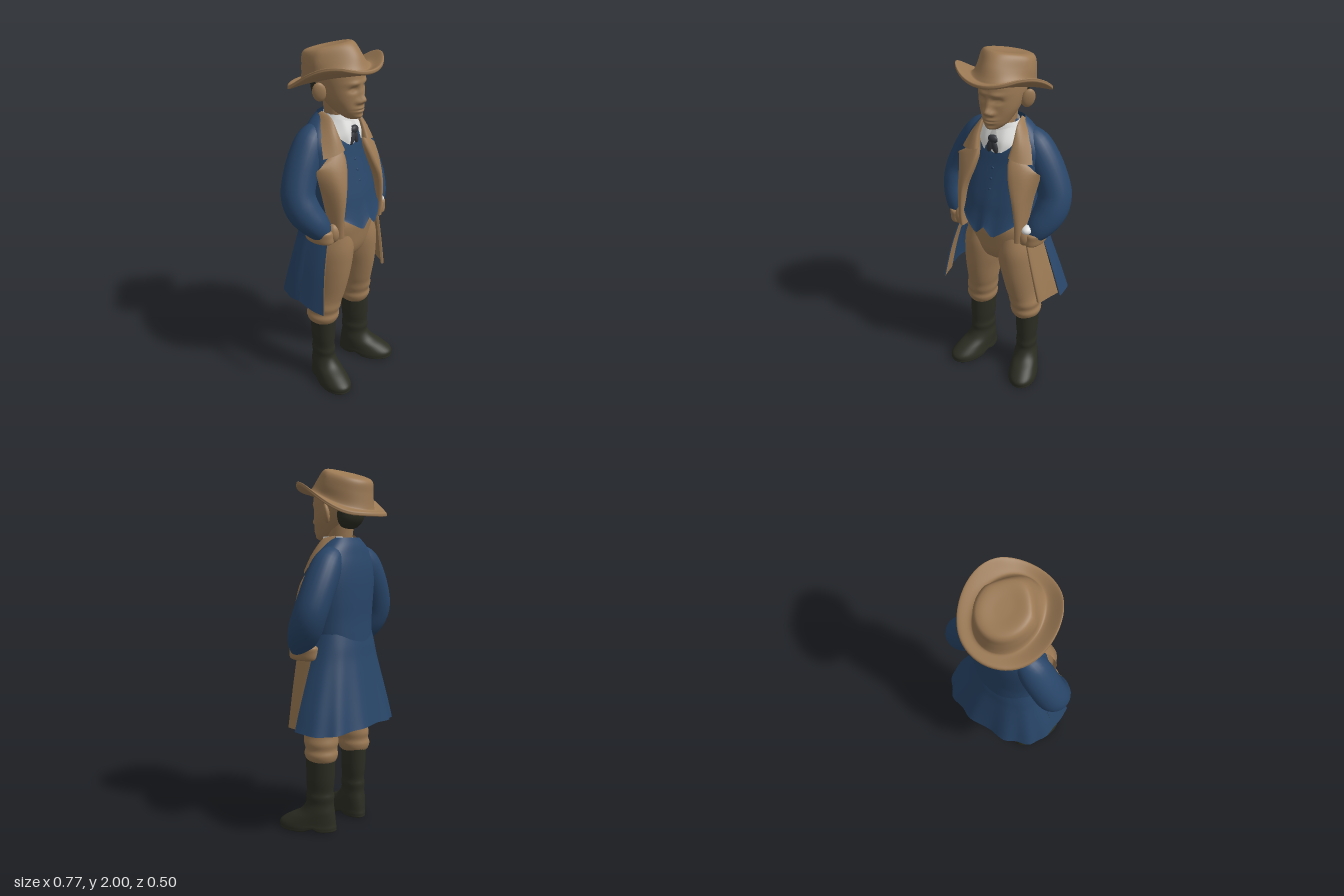
import * as THREE from 'three';

const mat = (name, color, side = THREE.FrontSide) => {
  const m = new THREE.MeshStandardMaterial({ color, side });
  m.name = name;
  return m;
};

// Smooth interpolation through rows of numbers, t in 0..1
function at(rows, t) {
  const n = rows.length - 1, f = Math.min(Math.max(t, 0), 1) * n;
  const i = Math.min(Math.floor(f), n - 1), k = f - i;
  const a = rows[Math.max(i - 1, 0)], b = rows[i], c = rows[i + 1], d = rows[Math.min(i + 2, n)];
  return b.map((_, j) => b[j] + 0.5 * k * (c[j] - a[j] + k * (2 * a[j] - 5 * b[j] + 4 * c[j] - d[j]
    + k * (3 * (b[j] - c[j]) + d[j] - a[j]))));
}

// Smooth grid surface from f(u, v) -> [x, y, z]; s = -1 mirrors it in x
function surface(nu, nv, closed, f, s = 1) {
  const pos = [], idx = [], cols = closed ? nu : nu + 1;
  for (let j = 0; j <= nv; j++) for (let i = 0; i < cols; i++) {
    const p = f(i / nu, j / nv);
    pos.push(p[0] * s, p[1], p[2]);
  }
  for (let j = 0; j < nv; j++) for (let i = 0; i < nu; i++) {
    const k = (i + 1) % cols, a = j * cols + i, b = j * cols + k, c = b + cols, d = a + cols;
    if (s > 0) idx.push(a, b, c, a, c, d);
    else idx.push(a, c, b, a, d, c);
  }
  const g = new THREE.BufferGeometry();
  g.setAttribute('position', new THREE.Float32BufferAttribute(pos, 3));
  g.setIndex(idx);
  g.computeVertexNormals();
  return g;
}

const pw = (v, p) => Math.sign(v) * Math.abs(v) ** (2 / p);

// Horizontal rings [y, cx, cz, rx, rz], listed bottom to top
function loft(rows, { s = 1, p = 2, nu = 32, nv = 28, from = 0, to = Math.PI * 2, shape = q => q } = {}) {
  const closed = to - from > 6.28;
  return surface(nu, nv, closed, (u, v) => {
    const [y, cx, cz, rx, rz] = at(rows, v), a = from + (to - from) * u;
    return shape([cx + rx * pw(Math.sin(a), p), y, cz + rz * pw(Math.cos(a), p)], v, a);
  }, s);
}

// Round limb through [x, y, z, radius], listed bottom to top
function limb(rows, s) {
  const Z = new THREE.Vector3(0, 0, 1);
  return surface(24, 28, true, (u, v) => {
    const c = at(rows, v), lo = at(rows, v - 0.02), hi = at(rows, v + 0.02);
    const t = new THREE.Vector3(hi[0] - lo[0], hi[1] - lo[1], hi[2] - lo[2]).normalize();
    const e1 = t.clone().cross(Z).normalize(), e2 = e1.clone().cross(t), a = u * Math.PI * 2;
    return new THREE.Vector3(c[0], c[1], c[2])
      .addScaledVector(e1, c[3] * Math.sin(a)).addScaledVector(e2, c[3] * Math.cos(a)).toArray();
  }, s);
}

// Sheet through rows of points; points run inner to outer, rows bottom to top
const patch = (rows, s) => surface(12, 16, false,
  (u, v) => at(rows[0].map((_, i) => at(rows.map(r => r[i]), v)), u), s);

const bump = (x, y, cx, cy, wx, wy) => Math.exp(-(((x - cx) / wx) ** 2) - ((y - cy) / wy) ** 2);

export function createModel() {
  const group = new THREE.Group();
  const brown = mat('tan brown', 0x9b7954), tan = mat('tan sheet brown', 0x9b7954, THREE.DoubleSide);
  const blue = mat('coat blue', 0x284568, THREE.DoubleSide), dark = mat('dark olive', 0x2b2d22, THREE.DoubleSide);
  const white = mat('shirt white', 0xe2e2e0, THREE.DoubleSide), grey = mat('tie grey', 0x34363c);
  const add = (name, geo, m) => {
    const mesh = new THREE.Mesh(geo, m);
    mesh.name = name;
    group.add(mesh);
    return mesh;
  };
  const blob = (name, m, x, y, z, a, b, c) => {
    const mesh = add(name, new THREE.SphereGeometry(1, 20, 14), m);
    mesh.position.set(x, y, z);
    mesh.scale.set(a, b, c);
    return mesh;
  };

  // Hat: brim underside, rolled edge, crown; rows are [cz, rx, rz, height, curl]
  const hat = [[0, 0.08, 0.1, -0.012, 1], [0, 0.16, 0.18, -0.012, 1], [0, 0.234, 0.238, -0.012, 1],
    [0, 0.242, 0.247, 0, 1], [0, 0.234, 0.238, 0.011, 1], [0, 0.175, 0.195, 0.006, 1],
    [-0.003, 0.156, 0.182, 0.025, 0.8], [-0.016, 0.15, 0.165, 0.09, 0.2], [-0.035, 0.135, 0.145, 0.145, 0],
    [-0.04, 0.105, 0.115, 0.163, 0], [-0.04, 0.04, 0.05, 0.158, 0], [-0.04, 0, 0, 0.157, 0]];
  add('hat', surface(56, 66, true, (u, v) => {
    const [cz, rx, rz, h, k] = at(hat, v), a = u * Math.PI * 2;
    const z = cz + rz * Math.cos(a), x = rx * Math.sin(a) * (1 - (1 - k) * Math.max(0, z) * 2.8);
    const curl = 1.5 * x * x * Math.min(Math.max(0.5 + 4 * z, -0.25), 1.2) * k;
    return [x - 0.005, 1.815 + 0.27 * z + h + curl, z];
  }), tan);

  // Head with modelled face
  add('head', loft([[1.605, 0, 0.1, 0, 0], [1.613, 0, 0.1, 0.03, 0.04], [1.637, 0, 0.085, 0.06, 0.07],
    [1.67, 0, 0.065, 0.08, 0.095], [1.72, 0, 0.045, 0.102, 0.115], [1.78, 0, 0.025, 0.114, 0.137],
    [1.84, 0, 0.02, 0.116, 0.14], [1.9, 0, 0.02, 0.11, 0.13]], {
    nu: 88, nv: 72, p: 2.1, shape: ([x, y, z]) => {
      if (z > 0.05) {
        const ax = Math.abs(x);
        z += 0.028 * bump(x, y, 0, 1.718, 0.022, 0.02) + 0.014 * bump(x, y, 0, 1.75, 0.016, 0.035)
          + 0.014 * bump(ax, y, 0.024, 1.71, 0.013, 0.013) - 0.017 * bump(ax, y, 0.043, 1.775, 0.024, 0.014)
          + 0.008 * bump(ax, y, 0.044, 1.773, 0.013, 0.008) + 0.008 * bump(ax, y, 0.04, 1.808, 0.035, 0.012)
          + 0.018 * bump(x, y, 0, 1.668, 0.04, 0.022) - 0.011 * bump(x, y, 0, 1.667, 0.032, 0.005)
          + 0.015 * bump(x, y, 0, 1.628, 0.03, 0.014);
      }
      return [x, y, z];
    } }), brown);
  add('hair', loft([[1.675, 0, -0.06, 0.02, 0.015], [1.69, 0, -0.06, 0.065, 0.035], [1.73, 0, -0.065, 0.092, 0.058],
    [1.79, 0, -0.065, 0.1, 0.068], [1.85, 0, -0.065, 0.1, 0.068]]), dark);
  add('neck', loft([[1.5, 0, 0.015, 0.06, 0.06], [1.62, 0, 0.01, 0.065, 0.072], [1.72, 0, 0.0, 0.07, 0.075]]), brown);
  add('shirt', loft([[1.46, 0, 0.035, 0.09, 0.075], [1.53, 0, 0.035, 0.102, 0.08], [1.59, 0, 0.025, 0.1, 0.08],
    [1.635, 0, 0.02, 0.088, 0.075]]), white);
  // Tie with two short tails
  blob('tieKnot', grey, 0, 1.55, 0.12, 0.03, 0.022, 0.018);
  for (const s of [1, -1]) {
    const tail = blob('tieTail', grey, s * 0.014 - 0.004, 1.51, 0.124, 0.017, 0.04, 0.011);
    tail.rotation.z = s * 0.3;
  }

  // Waistcoat front and coat back, with two points at the front hem
  const torso = [[1.02, 0, 0.033, 0.2, 0.182], [1.11, 0, 0.026, 0.204, 0.17], [1.2, 0, 0.02, 0.208, 0.16],
    [1.3, 0, 0.006, 0.215, 0.147], [1.4, 0, -0.007, 0.223, 0.132], [1.48, 0, -0.013, 0.222, 0.118],
    [1.54, 0, -0.02, 0.195, 0.098], [1.59, 0, -0.03, 0.145, 0.074], [1.63, 0, -0.034, 0.095, 0.048]];
  add('waistcoatAndCoatBack', loft(torso, { nu: 72, nv: 44, p: 2.35, shape: ([x, y, z], v) => {
    if (z > 0.03) {
      const ax = Math.abs(x), hem = ax < 0.05 ? 1.07 - ax * 1.1 : 1.015 + (ax - 0.05) * 0.75;
      y += (hem - 1.02) * (1 - v) ** 4;
      z += 0.015 * (1 - v) ** 8;
    }
    return [x, y, z];
  } }), blue);
  for (let i = 0; i < 6; i++) {
    const r = at(torso, 0.13 + i * 0.07);
    blob('waistcoatButton', blue, 0, r[0], r[2] + r[4] + 0.001, 0.008, 0.008, 0.004);
  }

  // Coat skirt with folds, and the dark lining
  const skirt = [[0.61, 0, 0, 0.352, 0.24], [0.72, 0, 0, 0.322, 0.216], [0.85, 0, 0, 0.28, 0.188],
    [0.97, 0, 0, 0.24, 0.163], [1.05, 0, 0, 0.218, 0.15], [1.12, 0, 0, 0.2, 0.135]];
  const folds = inset => ([x, y, z], v, a) => {
    const w = (1 - v) ** 1.5, r = 1 - inset + 0.035 * w * Math.cos(11.6 * (a - Math.PI + 0.17)) * Math.max(0, -Math.cos(a));
    return [x * r + 0.022 * w, y - 0.012 * w * Math.cos(a * 3), z * r];
  };
  add('coatSkirt', loft(skirt, { nu: 72, p: 2.4, from: Math.PI / 2 - 0.06, to: Math.PI * 1.5, shape: folds(0) }), blue);
  add('coatLining', loft(skirt, { nu: 40, p: 2.4, from: 1.75, to: Math.PI + 0.6, shape: folds(0.035) }), dark);

  // Left front edge turned out, showing its tan facing
  add('leftCoatFacing', patch([
    [[0.28, 0.605, 0.125], [0.3, 0.605, 0.132], [0.325, 0.61, 0.07], [0.355, 0.62, 0.012]],
    [[0.24, 0.8, 0.13], [0.258, 0.8, 0.137], [0.275, 0.8, 0.07], [0.297, 0.8, 0.012]],
    [[0.2, 1.0, 0.13], [0.215, 1.0, 0.137], [0.225, 1.0, 0.07], [0.232, 1.0, 0.012]]], 1), tan);
  // Right front edge hangs open: blue outside, tan facing inside
  add('rightCoatFlap', patch([
    [[0.322, 0.575, 0.165], [0.332, 0.585, 0.09], [0.33, 0.61, 0]],
    [[0.28, 0.8, 0.14], [0.288, 0.8, 0.08], [0.286, 0.8, 0]],
    [[0.222, 1.0, 0.12], [0.23, 1.0, 0.07], [0.232, 1.0, 0]]], -1), blue);
  add('rightCoatFacing', patch([
    [[0.314, 0.575, 0.167], [0.32, 0.58, 0.125], [0.322, 0.585, 0.085]],
    [[0.272, 0.8, 0.142], [0.276, 0.8, 0.11], [0.278, 0.8, 0.075]],
    [[0.214, 1.0, 0.122], [0.218, 1.0, 0.1], [0.221, 1.0, 0.065]]], -1), tan);

  // Trouser seat
  add('trouserSeat', loft([[0.785, 0, 0.04, 0, 0], [0.81, 0, 0.04, 0.08, 0.085], [0.87, 0, 0.04, 0.17, 0.125],
    [0.97, 0, 0.043, 0.198, 0.14], [1.05, 0, 0.043, 0.198, 0.145], [1.12, 0, 0.03, 0.18, 0.13]], { p: 2.3 }), brown);

  for (const s of [1, -1]) {
    const side = s > 0 ? 'left' : 'right';
    // Trouser leg gathered above the boot
    add(side + 'TrouserLeg', loft([[0.395, 0.15, 0.018, 0.06, 0.07], [0.415, 0.15, 0.018, 0.08, 0.087],
      [0.445, 0.15, 0.02, 0.089, 0.096], [0.475, 0.147, 0.022, 0.084, 0.092], [0.51, 0.145, 0.025, 0.089, 0.1],
      [0.55, 0.138, 0.03, 0.085, 0.1], [0.6, 0.13, 0.035, 0.087, 0.108], [0.7, 0.122, 0.045, 0.094, 0.12],
      [0.8, 0.112, 0.05, 0.104, 0.128], [0.9, 0.105, 0.05, 0.104, 0.132], [1, 0.1, 0.045, 0.08, 0.12]],
    { s, nv: 48 }), brown).position.x = 0.004;

    // Boot with the toe turned out and an arch before the heel
    add(side + 'Boot', loft([[0, 0, 0.06, 0, 0], [0, 0, 0.077, 0.067, 0.15], [0.018, 0, 0.079, 0.077, 0.167],
      [0.045, 0, 0.078, 0.076, 0.163], [0.08, 0, 0.053, 0.073, 0.135], [0.115, 0, 0.022, 0.068, 0.1],
      [0.16, 0, 0.008, 0.06, 0.08], [0.2, 0, 0.006, 0.063, 0.081], [0.235, 0, 0.006, 0.058, 0.077],
      [0.3, 0, 0.004, 0.064, 0.081], [0.42, 0, 0.002, 0.068, 0.083]], {
      s, nu: 40, nv: 52, shape: ([x, y, z]) => {
        const w = x * (1 + 1.6 * Math.max(0, z - 0.03) * Math.max(0, 1 - y / 0.15));
        const h = Math.max(0, y) + 0.022 * bump(0, z, 0, 0.035, 1, 0.028) * Math.max(0, 1 - y / 0.05);
        const c = Math.cos(0.33), n = Math.sin(0.33);
        return [0.152 + w * c + z * n, h, 0.015 + z * c - w * n];
      } }), dark).position.x = 0.01;

    // Sleeve, turned cuff and hand going into the pocket
    add(side + 'Sleeve', limb([[0.23, 1.03, 0.095, 0.058], [0.258, 1.08, 0.068, 0.076], [0.288, 1.15, 0.018, 0.09],
      [0.293, 1.23, -0.018, 0.091], [0.262, 1.32, -0.032, 0.091], [0.21, 1.42, -0.037, 0.09],
      [0.16, 1.5, -0.038, 0.079], [0.1, 1.55, -0.04, 0.05]], s), blue);
    add(side + 'Cuff', loft([[0.975, 0.232, 0.075, 0.03, 0.06], [0.985, 0.234, 0.075, 0.052, 0.085],
      [1.02, 0.237, 0.072, 0.057, 0.089], [1.05, 0.24, 0.07, 0.056, 0.087], [1.06, 0.24, 0.07, 0.035, 0.06]], { s }), brown);
    blob(side + 'Hand', brown, s * 0.2, 1.03, 0.14, 0.035, 0.055, 0.035);

    // Ear
    const ear = blob(side + 'Ear', brown, s * 0.132, 1.757, -0.002, 0.018, 0.052, 0.036);
    ear.rotation.set(-0.2, s * -0.75, s * -0.28);

    // Shirt collar wing
    add(side + 'CollarWing', patch([
      [[0.046, 1.486, 0.132], [0.05, 1.485, 0.13], [0.056, 1.488, 0.127]],
      [[0.026, 1.55, 0.125], [0.06, 1.54, 0.12], [0.098, 1.53, 0.09]],
      [[0.012, 1.595, 0.11], [0.06, 1.61, 0.09], [0.1, 1.615, 0.03]]], s), white);

    // Open coat front, lapel and collar
    add(side + 'CoatFront', patch([
      [[0.155, 1.0, 0.13], [0.163, 1.0, 0.185], [0.195, 1.0, 0.17], [0.21, 1.0, 0.1]],
      [[0.16, 1.1, 0.13], [0.166, 1.1, 0.187], [0.195, 1.1, 0.175], [0.207, 1.1, 0.1]],
      [[0.145, 1.24, 0.12], [0.15, 1.24, 0.19], [0.195, 1.24, 0.17], [0.222, 1.24, 0.08]],
      [[0.11, 1.35, 0.1], [0.115, 1.35, 0.167], [0.19, 1.36, 0.145], [0.25, 1.37, 0.07]],
      [[0.09, 1.43, 0.07], [0.095, 1.43, 0.137], [0.16, 1.43, 0.122], [0.235, 1.4, 0.085]],
      [[0.09, 1.49, 0.04], [0.095, 1.49, 0.1], [0.12, 1.48, 0.1], [0.16, 1.45, 0.09]]], s), tan);
    add(side + 'CoatCollar', patch([
      [[0.092, 1.475, 0.1], [0.1, 1.47, 0.138], [0.16, 1.455, 0.128], [0.212, 1.44, 0.085]],
      [[0.1, 1.54, 0.07], [0.105, 1.545, 0.1], [0.14, 1.545, 0.09], [0.175, 1.53, 0.04]],
      [[0.095, 1.6, 0.03], [0.099, 1.62, 0.05], [0.118, 1.61, 0.035], [0.138, 1.585, -0.005]],
      [[0.078, 1.62, -0.03], [0.083, 1.64, -0.025], [0.097, 1.63, -0.035], [0.108, 1.6, -0.06]]], s), tan);
  }
  blob('shirtCuff', white, 0.215, 1.075, 0.135, 0.03, 0.025, 0.035);
  return group;
}
